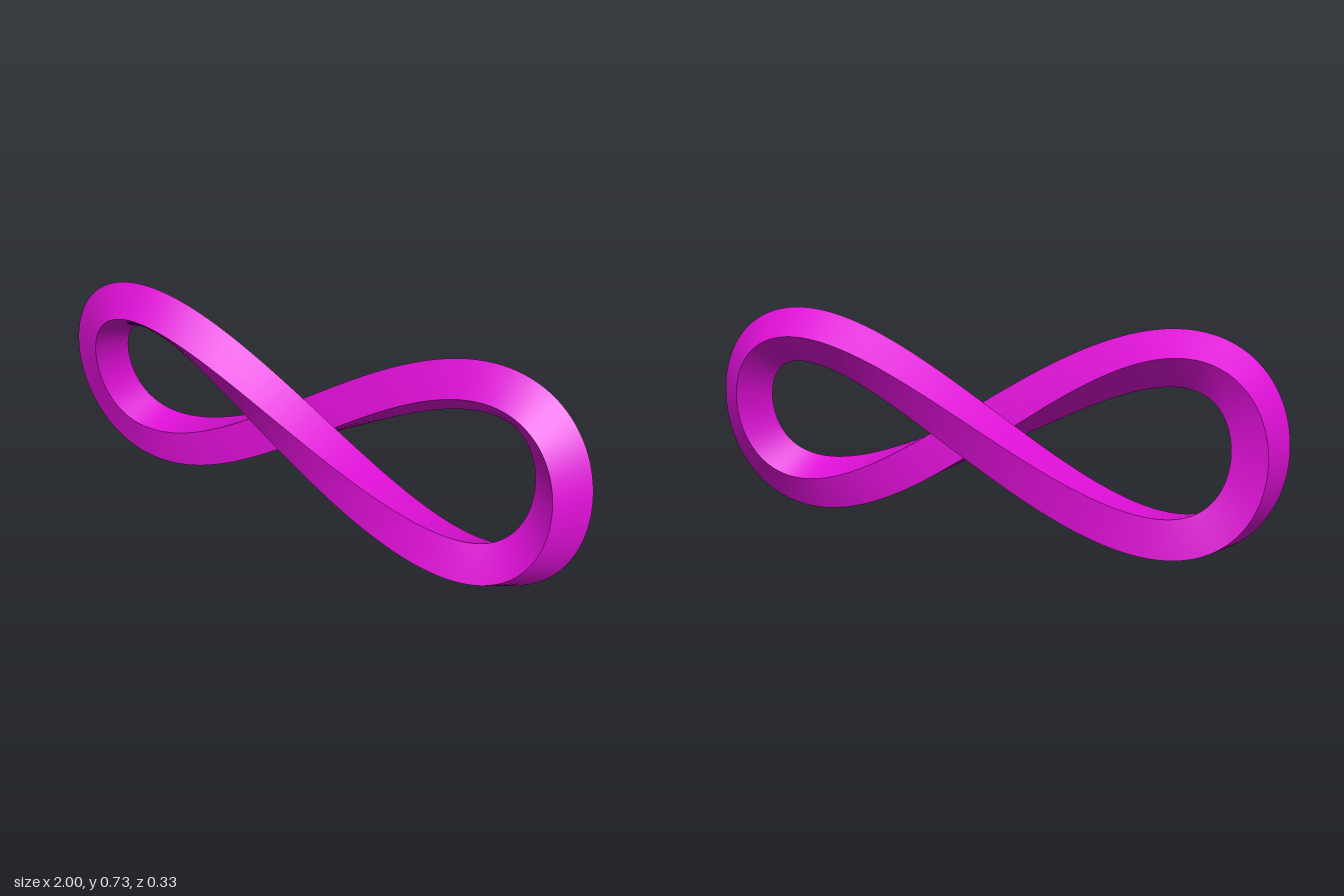
import * as THREE from 'three';

const RADIUS = 0.092; // centre to corner of the square section
const STEPS = 240;    // rings per lap

// Figure-eight centreline; the strands pass each other in depth
const centre = (t) => new THREE.Vector3(
  0.912 * Math.cos(t), 0.368 + 0.276 * Math.sin(2 * t), -0.08 * Math.sin(t));
const tangent = (t) => new THREE.Vector3(
  -0.912 * Math.sin(t), 0.552 * Math.cos(2 * t), -0.08 * Math.cos(t)).normalize();

// Roll of the section: half a turn per lap, slightly uneven
const roll = (t) => t / 2 + THREE.MathUtils.degToRad(
  -16.4 + 11 * Math.cos(t) - 9.1 * Math.sin(2 * t));

function corner(t, k) {
  const T = tangent(t);
  const N = new THREE.Vector3(T.y, -T.x, 0).normalize();
  const B = N.clone().cross(T);
  const a = roll(t) + k * Math.PI / 2;
  return centre(t)
    .addScaledVector(N, RADIUS * Math.cos(a))
    .addScaledVector(B, RADIUS * Math.sin(a));
}

// One side of the bar; with the half turn it closes on itself after two laps
function sideStrip(k) {
  const rings = STEPS * 2, pos = [], index = [];
  for (let i = 0; i < rings; i++) {
    const t = (i / STEPS) * Math.PI * 2;
    pos.push(...corner(t, k).toArray(), ...corner(t, k + 1).toArray());
    const a = 2 * i, b = a + 1, c = 2 * ((i + 1) % rings), d = c + 1;
    index.push(a, c, b, b, c, d);
  }
  const g = new THREE.BufferGeometry();
  g.setAttribute('position', new THREE.Float32BufferAttribute(pos, 3));
  g.setIndex(index);
  g.computeVertexNormals();
  return g;
}

export function createModel() {
  const model = new THREE.Group();
  model.name = 'twistedFigureEight';
  const material = new THREE.MeshStandardMaterial({ color: 0xdd0fd5 });
  ['firstSide', 'secondSide'].forEach((name, k) => {
    const mesh = new THREE.Mesh(sideStrip(k), material);
    mesh.name = name;
    model.add(mesh);
  });
  return model;
}
